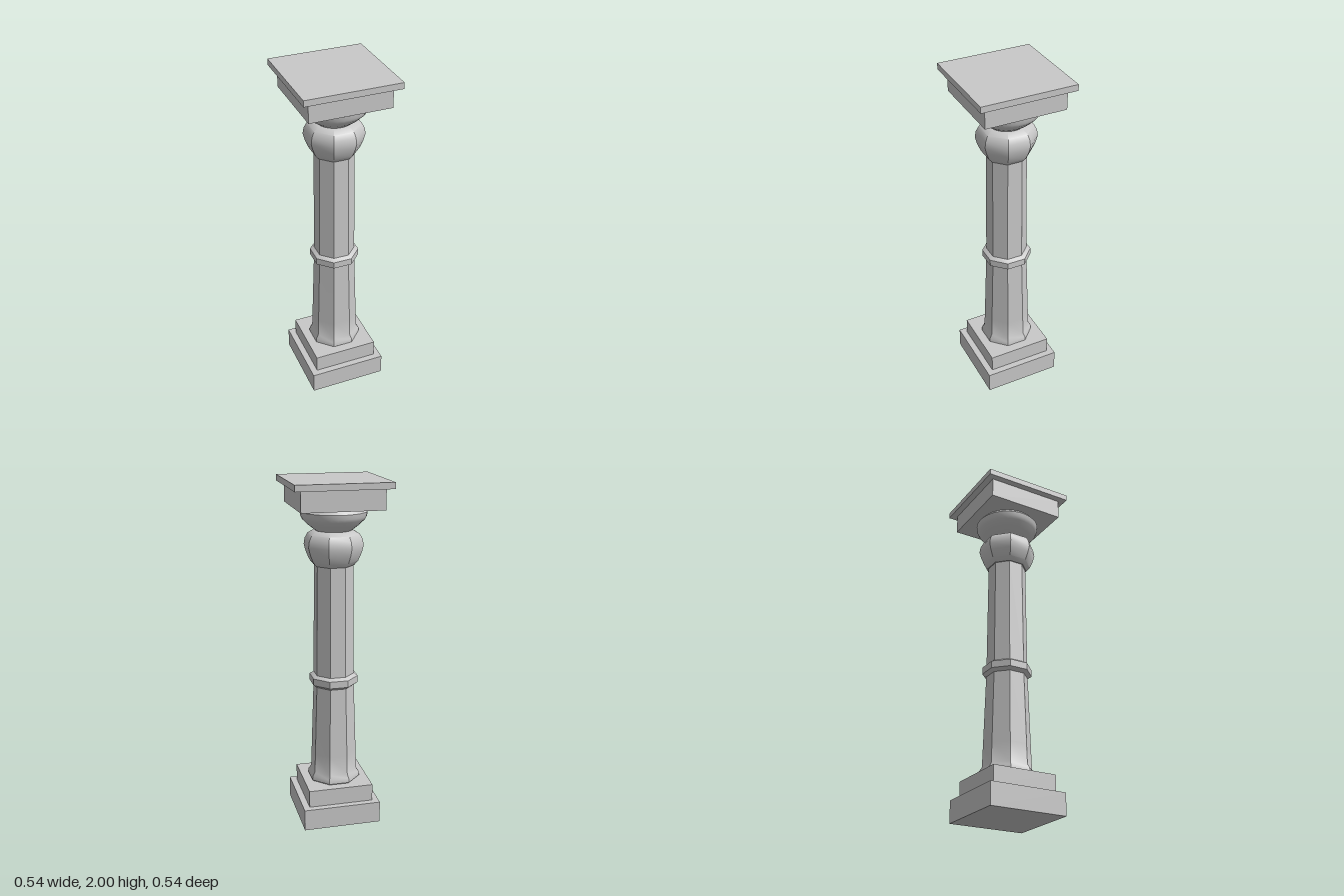
import * as THREE from 'three';
import { toCreasedNormals } from 'three/addons/utils/BufferGeometryUtils.js';

export function createModel() {
  const group = new THREE.Group();
  group.name = 'column';
  const stone = new THREE.MeshStandardMaterial({ color: 0xc8c8c8 });
  stone.name = 'stone';

  const add = (name, geometry) => {
    const mesh = new THREE.Mesh(geometry, stone);
    mesh.name = name;
    group.add(mesh);
  };

  // Square slab from y0 to y1
  const slab = (name, half, y0, y1) =>
    add(name, new THREE.BoxGeometry(half * 2, y1 - y0, half * 2).translate(0, (y0 + y1) / 2, 0));

  // Turned part from [radius, y] pairs, bottom to top, capped at both ends;
  // for 8 sides the radius is measured to the flats, which face the axes
  const turned = (name, sides, profile, crease) => {
    const k = sides === 8 ? 1 / Math.cos(Math.PI / 8) : 1;
    const closed = [[0, profile[0][1]], ...profile, [0, profile[profile.length - 1][1]]];
    const points = closed.map(([r, y]) => new THREE.Vector2(r * k, y));
    const lathe = new THREE.LatheGeometry(points, sides, Math.PI / sides);
    add(name, toCreasedNormals(lathe, THREE.MathUtils.degToRad(crease)));
  };

  // Stepped base
  slab('plinth', 0.227, 0, 0.127);
  slab('plinthStep', 0.19, 0.127, 0.228);

  // Octagonal shaft with a flared foot and a middle band
  turned('lowerShaft', 8, [
    [0.136, 0.228], [0.143, 0.235], [0.141, 0.26], [0.127, 0.283], [0.123, 0.4], [0.11, 0.82],
  ], 35);
  turned('band', 8, [[0.11, 0.815], [0.131, 0.832], [0.131, 0.872], [0.108, 0.887]], 30);
  turned('upperShaft', 8, [[0.109, 0.88], [0.103, 1.53]], 30);

  // Faceted bulb under the capital
  turned('bulb', 8, [
    [0.108, 1.525], [0.128, 1.55], [0.146, 1.595], [0.156, 1.635],
    [0.151, 1.67], [0.136, 1.7], [0.104, 1.72],
  ], 35);

  // Round bowl and square capital slabs
  turned('bowl', 32, [
    [0.1, 1.718], [0.142, 1.75], [0.175, 1.782], [0.184, 1.8], [0.188, 1.825], [0.165, 1.85],
  ], 35);
  slab('capital', 0.231, 1.85, 1.965);
  slab('capitalTop', 0.269, 1.965, 2);

  return group;
}
